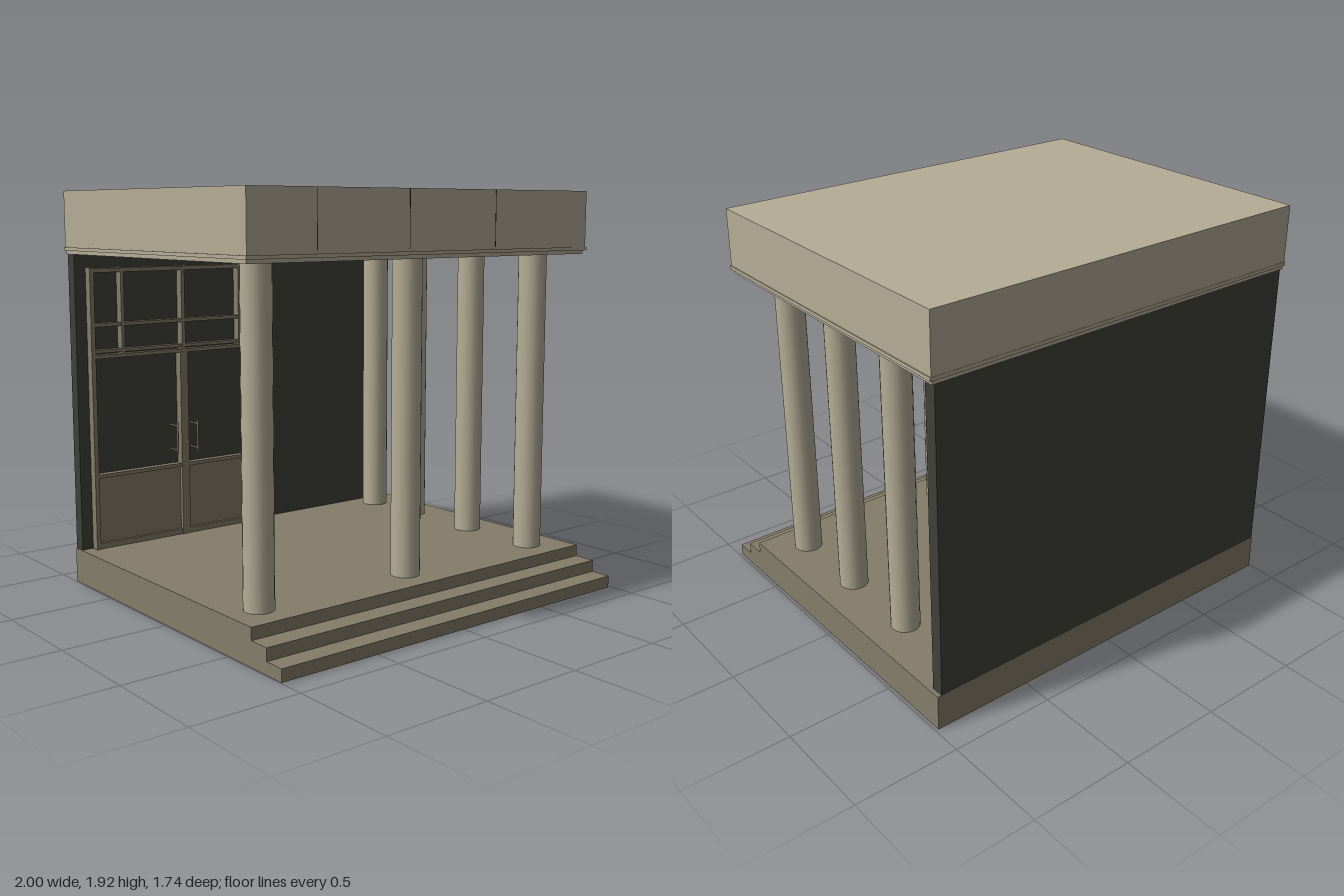
import * as THREE from 'three';

const mat = (name, color) => {
  const m = new THREE.MeshStandardMaterial({ color });
  m.name = name;
  return m;
};

export function createModel() {
  const root = new THREE.Group();
  root.name = 'entrancePorch';
  const cream = mat('cream stone', 0xb5ad96);
  const taupe = mat('taupe stone', 0x857d6a);
  const dark = mat('dark wall', 0x40413a);
  const black = mat('joint black', 0x2a2a26);

  // Box given by its min and max corners
  const box = (name, m, x0, x1, y0, y1, z0, z1, parent = root) => {
    const mesh = new THREE.Mesh(new THREE.BoxGeometry(x1 - x0, y1 - y0, z1 - z0), m);
    mesh.position.set((x0 + x1) / 2, (y0 + y1) / 2, (z0 + z1) / 2);
    mesh.name = name;
    parent.add(mesh);
    return mesh;
  };
  const cylinder = (name, m, r, x, y0, y1, z, sides, parent = root) => {
    const mesh = new THREE.Mesh(new THREE.CylinderGeometry(r, r, y1 - y0, sides), m);
    mesh.position.set(x, (y0 + y1) / 2, z);
    mesh.name = name;
    parent.add(mesh);
    return mesh;
  };

  // Stepped base
  [[0, 0.057, 0.87], [0.057, 0.114, 0.77], [0.114, 0.17, 0.665]].forEach(([y0, y1, z], i) =>
    box('step' + (i + 1), taupe, -0.995, 0.985, y0, y1, -0.855, z));

  // Back wall and the pilaster at its left end
  box('backWall', dark, -0.99, 0.965, 0.17, 1.622, -0.855, -0.795);
  box('pilaster', cream, 0.81, 0.945, 0.17, 1.622, -0.795, -0.783);

  // Columns: three along the front, the rest down one side
  [[-0.84, 0.5], [-0.02, 0.5], [0.795, 0.5], [0.795, 0.08], [0.795, -0.35], [0.795, -0.672]]
    .forEach(([x, z]) => cylinder('column', cream, 0.068, x, 0.17, 1.622, z, 20));

  // Roof slab with its stepped moulding
  box('roof', cream, -0.995, 0.99, 1.653, 1.92, -0.87, 0.66);
  box('upperMoulding', cream, -1, 0.995, 1.637, 1.653, -0.872, 0.665);
  box('lowerMoulding', cream, -0.99, 0.985, 1.62, 1.637, -0.868, 0.65);
  for (const x of [-0.65, -0.15, 0.37]) {
    box('roofJoint', black, x - 0.0015, x + 0.0015, 1.665, 1.92, 0.659, 0.661);
  }

  // Ceiling lamps
  for (const x of [-0.52, 0.285]) {
    for (const z of [0.41, 0]) cylinder('ceilingLamp', black, 0.034, x, 1.612, 1.621, z, 20);
  }

  // Double door with a transom window above
  const door = new THREE.Group();
  door.name = 'doubleDoor';
  root.add(door);
  const mid = -0.415, half = 0.515, back = -0.796, front = -0.752;
  box('centrePost', taupe, mid - 0.022, mid + 0.022, 0.17, 1.12, back, front, door);
  box('transomPost', taupe, mid - 0.01, mid + 0.01, 1.12, 1.55, back, front, door);
  const rails = [[1.532, 1.552], [1.27, 1.287], [1.142, 1.158], [1.115, 1.133], [0.525, 0.543], [0.17, 0.198]];
  for (const [y0, y1] of rails) {
    box('rail', taupe, mid - half, mid + half, y0, y1, back, front - 0.004, door);
  }
  for (const s of [-1, 1]) {
    const pair = (name, m, a, b, y0, y1, z0, z1) =>
      box(name, m, mid + Math.min(s * a, s * b), mid + Math.max(s * a, s * b), y0, y1, z0, z1, door);
    pair('outerStile', taupe, half - 0.02, half + 0.002, 0.17, 1.556, back, front);
    pair('transomStile', taupe, 0.335, 0.352, 1.13, 1.556, back, front);
    pair('kickPanel', taupe, 0.02, half - 0.015, 0.195, 0.53, back, -0.772);
    // Handle bar on two short brackets
    cylinder('handle', taupe, 0.006, mid + s * 0.06, 0.6, 0.765, -0.73, 10, door);
    for (const y of [0.62, 0.745]) {
      box('handleBracket', taupe, mid + s * 0.06 - 0.004, mid + s * 0.06 + 0.004, y - 0.004, y + 0.004, back, -0.73, door);
    }
  }
  return root;
}
